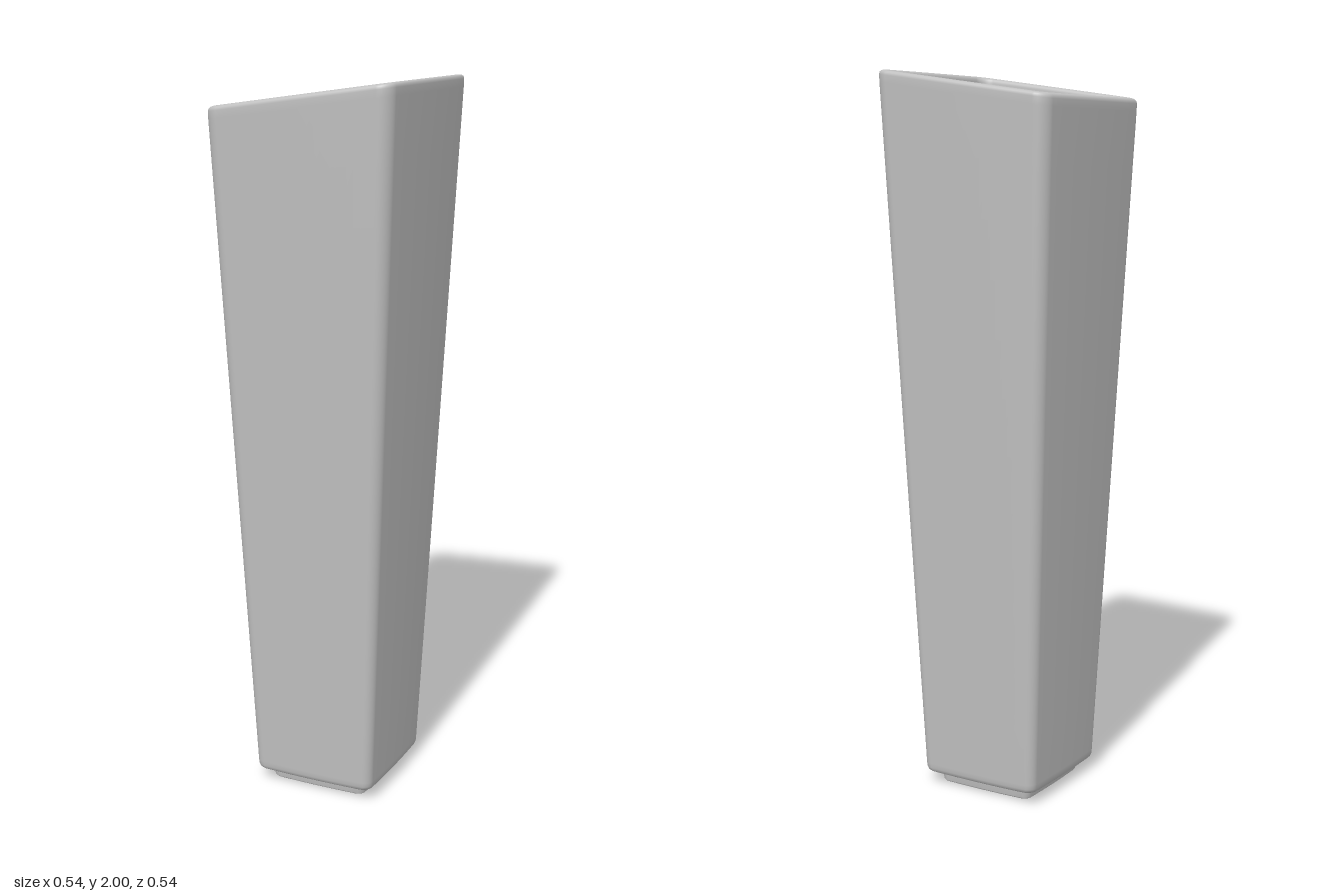
import * as THREE from 'three';

const SLANT = 0.14;   // rise of the cut rim per unit of x
const HEIGHT = 1.963; // rim height at the centre

// Rounded square outline with slightly bowed sides; h = half width at the middle of a side
function outline(h, bow, radius) {
  const pts = [];
  const c = h - radius;
  for (let k = 0; k < 4; k++) {
    const local = [];
    for (let i = 0; i < 8; i++) local.push([h, c * (-1 + i / 4)]);
    for (let i = 0; i < 8; i++) {
      const a = (i / 8) * Math.PI / 2;
      local.push([c + radius * Math.cos(a), c + radius * Math.sin(a)]);
    }
    const cs = Math.round(Math.cos(k * Math.PI / 2)), sn = Math.round(Math.sin(k * Math.PI / 2));
    for (const [u, v] of local) {
      const bu = u - bow * (v / h) ** 2 * (u / h);
      const bv = v - bow * (u / h) ** 2 * (v / h);
      pts.push([bu * cs - bv * sn, bu * sn + bv * cs]);
    }
  }
  return pts;
}

// Skins a profile of [half width, height] with square rings, shearing the upper part to the slanted rim
function loft(name, profile, material) {
  const pos = [], idx = [];
  let n = 0;
  for (const [h, y] of profile) {
    const ring = outline(Math.max(h, 0.0005), h * 0.025, Math.max(h, 0.0005) * 0.14);
    n = ring.length;
    const t = Math.max(0, (y - 0.1) / (HEIGHT - 0.1));
    for (const [x, z] of ring) pos.push(x, y + SLANT * x * t, z);
  }
  for (let i = 0; i < profile.length - 1; i++) {
    for (let j = 0; j < n; j++) {
      const a = i * n + j, b = i * n + (j + 1) % n;
      idx.push(a, a + n, b, b, a + n, b + n);
    }
  }
  const g = new THREE.BufferGeometry();
  g.setAttribute('position', new THREE.Float32BufferAttribute(pos, 3));
  g.setIndex(idx);
  g.computeVertexNormals();
  const mesh = new THREE.Mesh(g, material);
  mesh.name = name;
  return mesh;
}

export function createModel() {
  const group = new THREE.Group();
  group.name = 'vase';
  const ceramic = new THREE.MeshStandardMaterial({ color: 0xc0c0c0 });
  ceramic.name = 'grey ceramic';

  // Straight tapered run between two profile points
  const run = (a, b, steps) => Array.from({ length: steps + 1 }, (_, i) => {
    const t = i / steps;
    return [a[0] + (b[0] - a[0]) * t, a[1] + (b[1] - a[1]) * t];
  });

  // Recessed underside and foot ring
  group.add(loft('undersideRecess', [[0, 0.02], [0.115, 0.02]], ceramic));
  group.add(loft('footRing', [
    [0.115, 0.02], [0.117, 0.006], [0.12, 0.001], [0.125, 0], [0.14, 0],
    [0.144, 0.001], [0.147, 0.005], [0.149, 0.033],
  ], ceramic));
  group.add(loft('bodyUnderside', [[0.149, 0.033], [0.171, 0.033]], ceramic));

  // Outer wall, rounded rim and inner wall
  group.add(loft('body', [
    [0.171, 0.033], [0.177, 0.035], [0.181, 0.039], [0.184, 0.047],
    ...run([0.185, 0.06], [0.269, 1.93], 12),
    [0.2695, 1.95], [0.268, 1.957], [0.264, 1.961], [0.257, HEIGHT], [0.25, 1.961], [0.246, 1.957], [0.244, 1.95],
    ...run([0.243, 1.93], [0.163, 0.09], 12),
    [0.161, 0.075], [0.156, 0.067], [0.148, 0.065],
  ], ceramic));

  // Inside floor
  group.add(loft('innerFloor', [[0.148, 0.065], [0, 0.065]], ceramic));
  return group;
}
